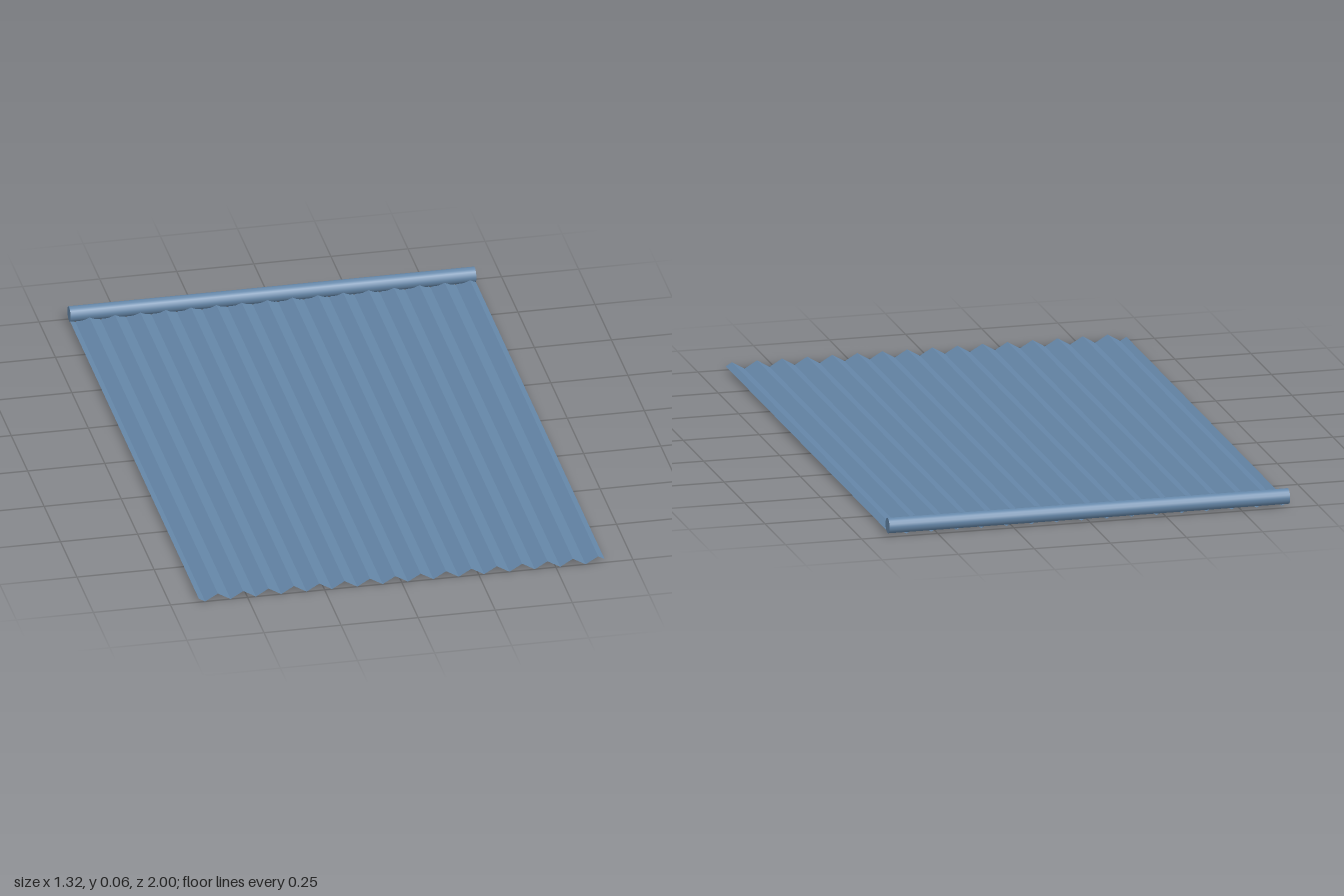
import * as THREE from 'three';

const WIDTH = 1.316, WAVES = 16, SHEET_HEIGHT = 0.024;
const FRONT_Z = 1, BAR_Z = -0.975, BAR_RADIUS = 0.025, BAR_Y = 0.031;

// Pleated sheet: a triangle wave across x, starting and ending at mid height
function pleatedSheet() {
  const step = WIDTH / (WAVES * 2);
  const profile = [[-WIDTH / 2, SHEET_HEIGHT / 2]];
  for (let i = 0; i < WAVES * 2; i++) {
    profile.push([-WIDTH / 2 + (i + 0.5) * step, i % 2 ? SHEET_HEIGHT : 0]);
  }
  profile.push([WIDTH / 2, SHEET_HEIGHT / 2]);

  const positions = [];
  for (let i = 0; i < profile.length - 1; i++) {
    const [x0, y0] = profile[i], [x1, y1] = profile[i + 1];
    positions.push(
      x0, y0, BAR_Z, x0, y0, FRONT_Z, x1, y1, FRONT_Z,
      x0, y0, BAR_Z, x1, y1, FRONT_Z, x1, y1, BAR_Z
    );
  }
  const geometry = new THREE.BufferGeometry();
  geometry.setAttribute('position', new THREE.Float32BufferAttribute(positions, 3));
  geometry.computeVertexNormals();
  return geometry;
}

export function createModel() {
  const group = new THREE.Group();
  group.name = 'pleatedBlind';
  const color = 0x6688aa;

  // Thin folded fabric
  const sheet = new THREE.Mesh(
    pleatedSheet(),
    new THREE.MeshStandardMaterial({ color, side: THREE.DoubleSide, flatShading: true })
  );
  sheet.name = 'pleatedSheet';
  group.add(sheet);

  // Round bar along the back edge
  const bar = new THREE.Mesh(
    new THREE.CylinderGeometry(BAR_RADIUS, BAR_RADIUS, WIDTH, 16).rotateZ(Math.PI / 2),
    new THREE.MeshStandardMaterial({ color })
  );
  bar.name = 'backBar';
  bar.position.set(0, BAR_Y, BAR_Z);
  group.add(bar);

  return group;
}
